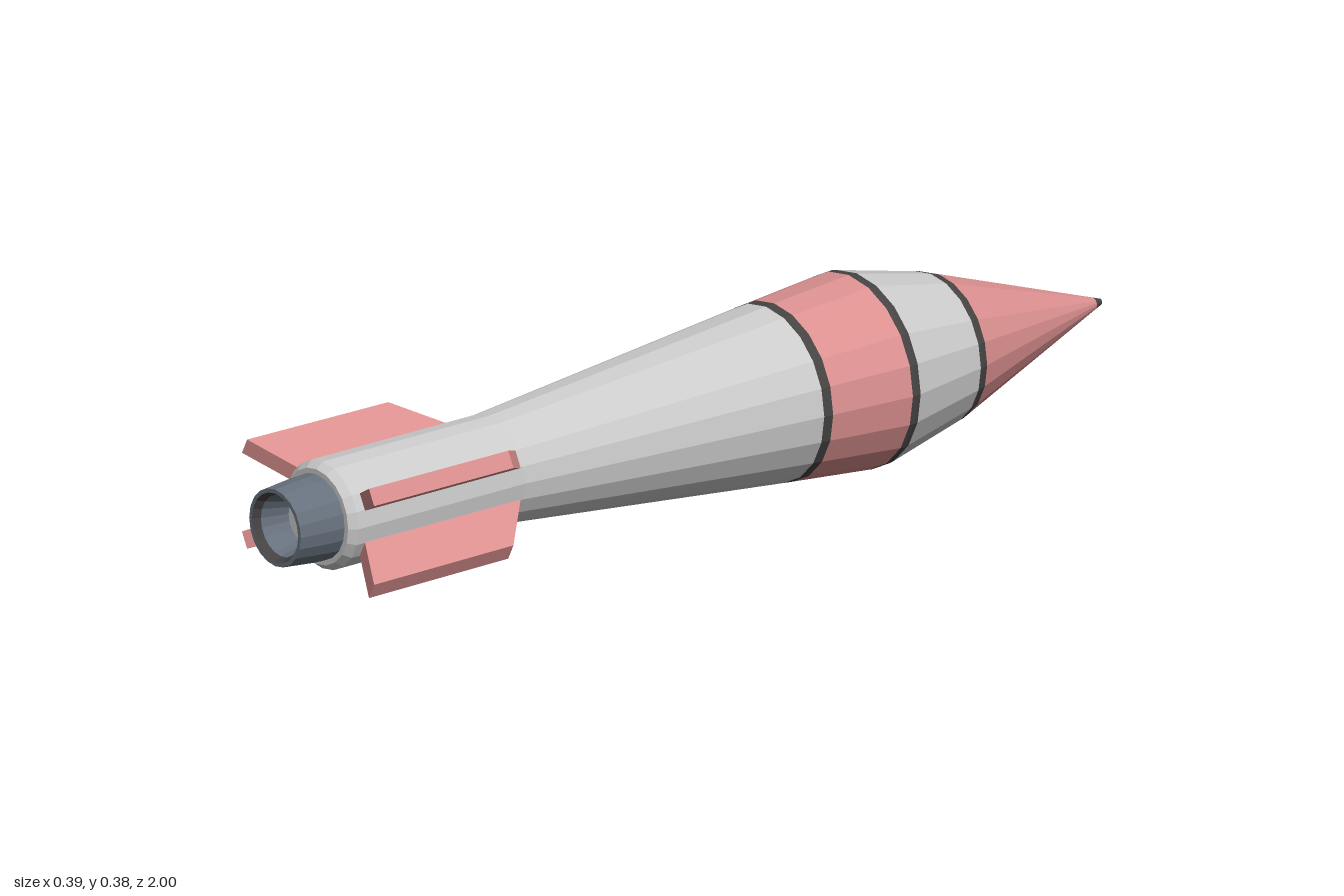
import * as THREE from 'three';

const SIDES = 20, AXIS_Y = 0.193;

const material = (color) => new THREE.MeshStandardMaterial({ color, flatShading: true });
const grey = material(0xcccccc), pink = material(0xdc9090);
const dark = material(0x464343), steel = material(0x67717d);

// Outer hull radius along the z axis
const HULL = [[-1, 0.006], [-0.6, 0.145], [-0.4, 0.191], [-0.2, 0.173], [0.48, 0.106], [0.885, 0.106]];

function hullRadius(z) {
  const i = Math.max(1, HULL.findIndex(([hz]) => hz >= z));
  const [z0, r0] = HULL[i - 1], [z1, r1] = HULL[i];
  return r0 + (r1 - r0) * (z - z0) / (z1 - z0);
}

// Faceted turned part; profile is a list of [z, radius]
function turned(name, profile, mat) {
  const geometry = new THREE.LatheGeometry(profile.map(([z, r]) => new THREE.Vector2(r, z)), SIDES);
  geometry.rotateX(Math.PI / 2);
  const mesh = new THREE.Mesh(geometry, mat);
  mesh.name = name;
  return mesh;
}

// Slice of the hull between two z positions
function hullSlice(name, z0, z1, mat) {
  const inner = HULL.filter(([z]) => z > z0 && z < z1);
  return turned(name, [[z0, hullRadius(z0)], ...inner, [z1, hullRadius(z1)]], mat);
}

export function createModel() {
  const model = new THREE.Group();
  model.name = 'rocket';
  const body = new THREE.Group();
  body.name = 'body';
  body.position.y = AXIS_Y;
  model.add(body);

  // Hull sections and dark seams
  body.add(
    turned('noseTip', [[-1, 0], [-1, 0.006], [-0.983, hullRadius(-0.983)]], dark),
    hullSlice('noseCone', -0.983, -0.61, pink),
    hullSlice('frontSeam', -0.61, -0.59, dark),
    hullSlice('shoulder', -0.59, -0.41, grey),
    hullSlice('middleSeam', -0.41, -0.39, dark),
    hullSlice('colourBand', -0.39, -0.21, pink),
    hullSlice('rearSeam', -0.21, -0.19, dark),
    hullSlice('tailBoom', -0.19, 0.885, grey),
    turned('tailCollar', [[0.885, 0.106], [0.9, 0.094], [0.9, 0.07]], grey)
  );

  // Hollow nozzle with a dark inner lip and a pale floor
  body.add(
    turned('nozzle', [[0.895, 0.084], [0.925, 0.083], [1, 0.076], [1, 0.068]], steel),
    turned('nozzleLip', [[1, 0.068], [0.985, 0.06]], dark),
    turned('nozzleBore', [[0.985, 0.06], [0.93, 0.045]], steel),
    turned('nozzleFloor', [[0.93, 0.045], [0.93, 0]], grey)
  );

  // Four swept fins
  const outline = new THREE.Shape([[0.085, 0.47], [0.206, 0.58], [0.209, 0.92], [0.085, 0.855]]
    .map(([r, z]) => new THREE.Vector2(r, z)));
  const thickness = 0.034, tilt = THREE.MathUtils.degToRad(26.5);
  const finGeometry = new THREE.ExtrudeGeometry(outline, { depth: thickness, bevelEnabled: false });
  finGeometry.translate(0, 0, -thickness / 2).rotateX(Math.PI / 2);
  const fins = new THREE.Group();
  fins.name = 'fins';
  [tilt, Math.PI - tilt, Math.PI + tilt, -tilt].forEach((angle, i) => {
    const fin = new THREE.Mesh(finGeometry, pink);
    fin.name = ['upperLeftFin', 'upperRightFin', 'lowerRightFin', 'lowerLeftFin'][i];
    fin.rotation.z = angle;
    fins.add(fin);
  });
  body.add(fins);

  return model;
}
